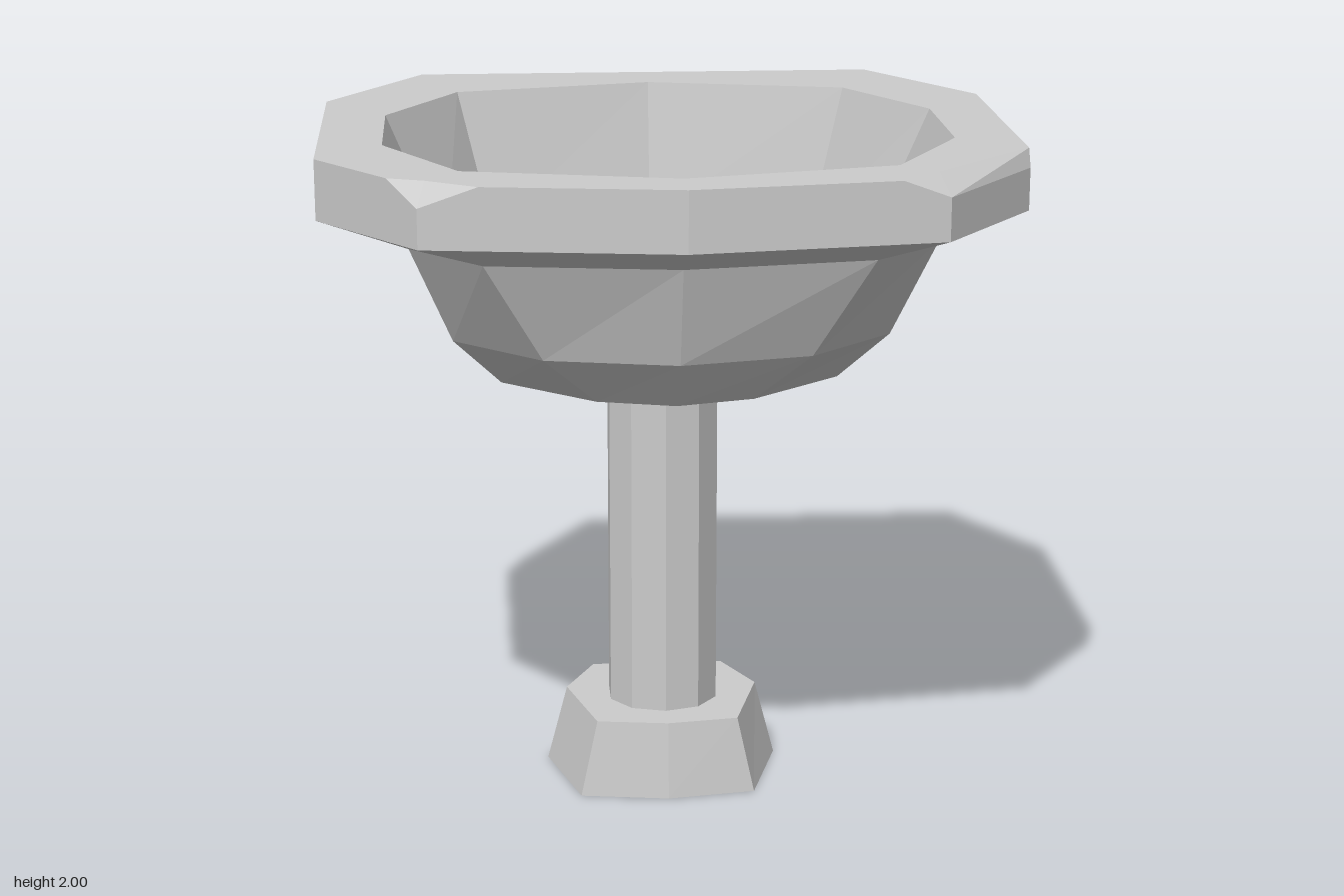
import * as THREE from 'three';

const material = new THREE.MeshStandardMaterial({ color: 0xcccccc, flatShading: true });

// Half outline [x, z] from front centre to back centre, mirrored into a closed ring at height y
function ring(y, half) {
  const mirrored = half.slice(1, -1).reverse().map(([x, z]) => [-x, z]);
  return [...half, ...mirrored].map(([x, z]) => new THREE.Vector3(x, y, z));
}

// Flat-faced skin over successive rings, with optional fans closing the ends
function loft(rings, capStart = false, capEnd = false) {
  const positions = [];
  const tri = (a, b, c) => {
    if (new THREE.Triangle(a, b, c).getArea() < 1e-7) return;
    for (const p of [a, b, c]) positions.push(p.x, p.y, p.z);
  };
  const fan = (points, flip) => {
    const centre = points.reduce((s, p) => s.add(p), new THREE.Vector3()).divideScalar(points.length);
    points.forEach((p, i) => {
      const q = points[(i + 1) % points.length];
      if (flip) tri(centre, q, p);
      else tri(centre, p, q);
    });
  };
  for (let r = 0; r < rings.length - 1; r++) {
    const lower = rings[r], upper = rings[r + 1], n = lower.length;
    for (let i = 0; i < n; i++) {
      const j = (i + 1) % n;
      tri(lower[i], lower[j], upper[j]);
      tri(lower[i], upper[j], upper[i]);
    }
  }
  if (capStart) fan(rings[0], true);
  if (capEnd) fan(rings[rings.length - 1], false);
  const geometry = new THREE.BufferGeometry();
  geometry.setAttribute('position', new THREE.Float32BufferAttribute(positions, 3));
  geometry.computeVertexNormals();
  return geometry;
}

export function createModel() {
  const group = new THREE.Group();
  const add = (name, geometry) => {
    const mesh = new THREE.Mesh(geometry, material);
    mesh.name = name;
    group.add(mesh);
  };

  // Foot: tapered, with an upright flat back
  add('foot', loft([
    ring(0, [[0, 0.21], [0.26, 0.17], [0.35, -0.14], [0.24, -0.33], [0, -0.33]]),
    ring(0.23, [[0, 0.18], [0.21, 0.15], [0.29, -0.14], [0.2, -0.33], [0, -0.33]]),
  ], true, true));

  // Column
  const columnHalf = [[0, 0.08], [0.1, 0.05], [0.16, -0.03], [0.16, -0.14], [0.1, -0.22], [0, -0.22]];
  add('column', loft([ring(0.22, columnHalf), ring(1.19, columnHalf)]));

  // Outside of the bowl, flaring out to the underside of the rim
  add('bowlOutside', loft([
    ring(1.19, columnHalf),
    ring(1.31, [[0, 0.52], [0.22, 0.46], [0.48, 0.24], [0.48, -0.41], [0.22, -0.58], [0, -0.58]]),
    ring(1.46, [[0, 0.65], [0.37, 0.57], [0.615, 0.34], [0.615, -0.51], [0.37, -0.72], [0, -0.72]]),
    ring(1.75, [[0, 0.75], [0.53, 0.67], [0.73, 0.45], [0.73, -0.57], [0.53, -0.82], [0, -0.82]]),
    ring(1.83, [[0, 0.92], [0.7, 0.82], [0.98, 0.44], [0.98, -0.45], [0.7, -0.92], [0, -0.92]]),
  ]));

  // Rim edge as [x, z]; chipped corners add their lowered height and the inner end of the chip
  const rim = [
    [0, 0.92], [0.57, 0.839], [0.7, 0.82, 1.95, 0.68, 0.73], [0.98, 0.44, 1.95, 0.98, 0.41],
    [0.98, 0.41], [0.98, -0.45], [0.7, -0.92], [-0.7, -0.92], [-0.98, -0.45], [-0.98, 0.44],
    [-0.78, 0.711], [-0.7, 0.82, 1.94, -0.68, 0.75], [-0.54, 0.843],
  ];
  const lip = rim.map(([x, z, , lx = x, lz = z]) => new THREE.Vector3(lx, 2, lz));
  add('rimEdge', loft([
    rim.map(([x, z]) => new THREE.Vector3(x, 1.83, z)),
    rim.map(([x, z, y = 2]) => new THREE.Vector3(x, y, z)),
    lip,
  ]));

  // Flat rim top around the opening
  const opening = ring(2, [[0, 0.77], [0.59, 0.63], [0.8, 0.25], [0.8, -0.21], [0.59, -0.59], [0, -0.73]]);
  const flat = (points) => points.map((p) => new THREE.Vector2(p.x, -p.z));
  // Drop the repeated chip end before outlining the top
  const outline = flat(lip.filter((p, i) => i === 0 || p.distanceTo(lip[i - 1]) > 1e-4));
  const top = new THREE.Shape(outline);
  top.holes.push(new THREE.Path(flat(opening)));
  add('rimTop', new THREE.ShapeGeometry(top).rotateX(-Math.PI / 2).translate(0, 2, 0));

  // Inside of the basin down to its floor
  add('basinInside', loft([
    opening,
    ring(1.58, [[0, 0.51], [0.49, 0.4], [0.63, 0.09], [0.63, -0.26], [0.49, -0.54], [0, -0.65]]),
    ring(1.37, [[0, 0.22], [0.26, 0.16], [0.33, 0], [0.33, -0.18], [0.26, -0.33], [0, -0.38]]),
  ], false, true));

  return group;
}
